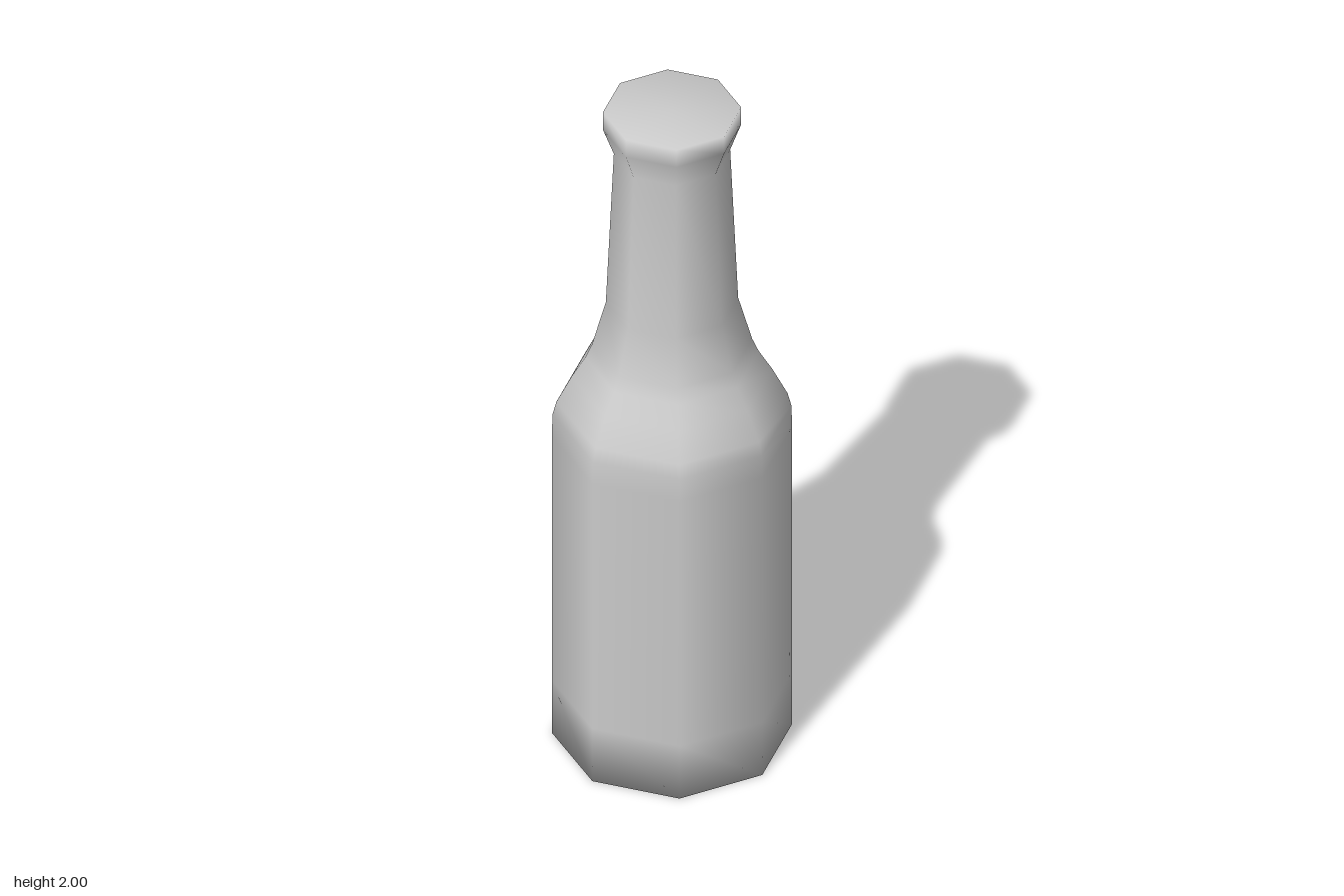
import * as THREE from 'three';

// Eight-sided bottle, smooth shaded, closed at both ends
export function createModel() {
  const group = new THREE.Group();
  group.name = 'bottle';

  // Radius and height, from the base centre up to the lid centre
  const profile = [
    [0, 0], [0.316, 0],                              // base
    [0.316, 0.17], [0.316, 0.96], [0.314, 1.03],     // body
    [0.304, 1.07], [0.264, 1.15], [0.228, 1.21],     // shoulder
    [0.211, 1.25], [0.174, 1.385],                   // neck root
    [0.153, 1.865],                                  // neck
    [0.182, 1.945], [0.182, 2], [0, 2],              // lip and closed top
  ].map(([r, y]) => new THREE.Vector2(r, y));

  const bottle = new THREE.Mesh(
    new THREE.LatheGeometry(profile, 8),
    new THREE.MeshStandardMaterial({ color: 0xcccccc })
  );
  bottle.name = 'bottleBody';
  group.add(bottle);
  return group;
}
